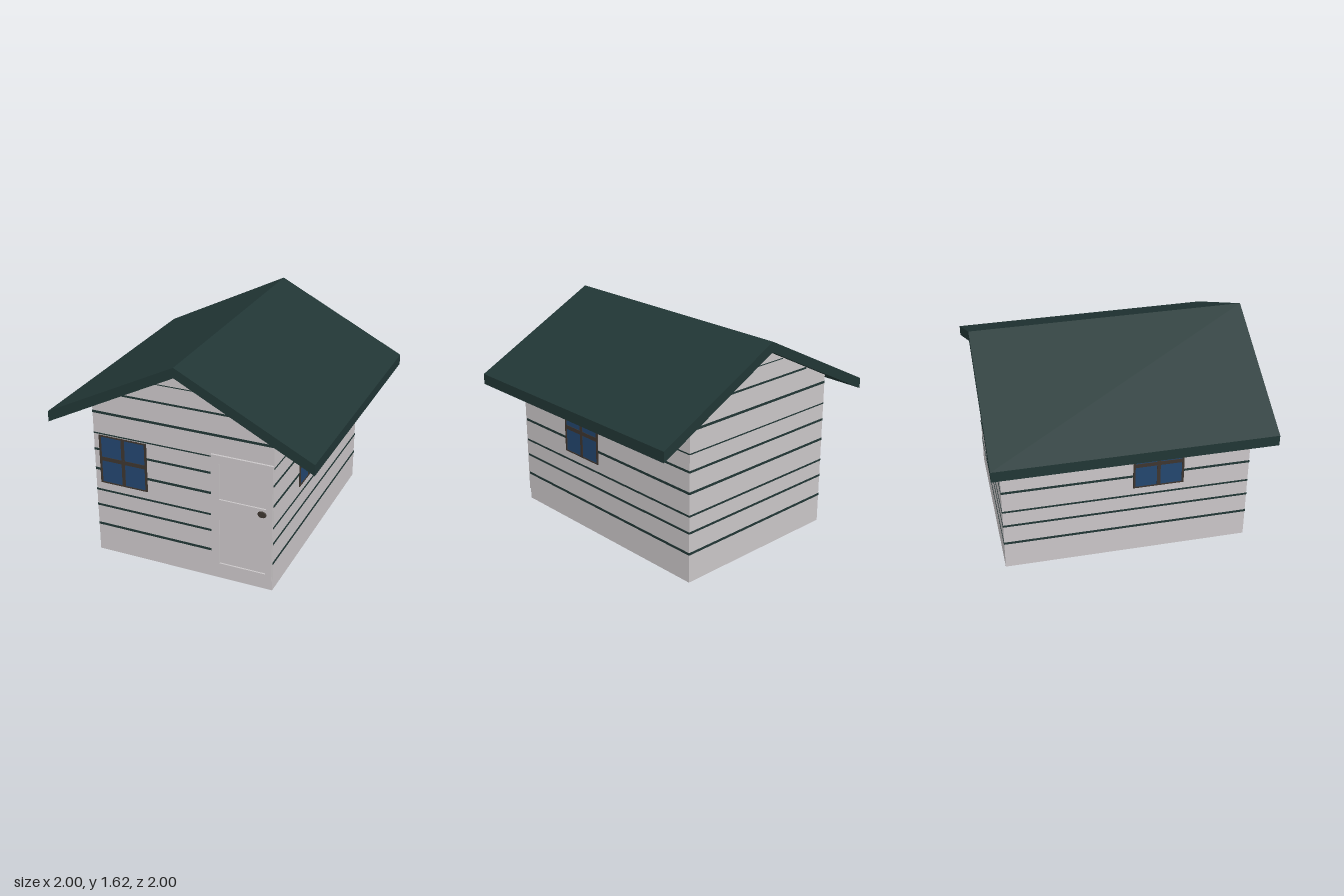
import * as THREE from 'three';

const HALF_W = 0.687, HALF_D = 0.912;   // wall planes
const PEAK = 1.54, SLOPE = 0.51;        // underside of the roof
const EAVE = PEAK - SLOPE * HALF_W;

const mat = (name, color, side = THREE.FrontSide) => {
  const m = new THREE.MeshStandardMaterial({ color, side });
  m.name = name;
  return m;
};

const polygon = (pts, Type = THREE.Shape) => new Type(pts.map(([x, y]) => new THREE.Vector2(x, y)));
const rect = (x0, x1, y0, y1, Type) => polygon([[x0, y0], [x1, y0], [x1, y1], [x0, y1]], Type);

export function createModel() {
  const wallMat = mat('pale wall', 0xcac6c8, THREE.DoubleSide);
  const greenMat = mat('dark green', 0x213635);
  const frameMat = mat('dark brown', 0x3d352f);
  const glassMat = mat('blue glass', 0x23466f);

  const model = new THREE.Group();
  model.name = 'cabin';

  const add = (parent, name, geometry, material, x = 0, y = 0, z = 0) => {
    const mesh = new THREE.Mesh(geometry, material);
    mesh.name = name;
    mesh.position.set(x, y, z);
    parent.add(mesh);
    return mesh;
  };
  const slab = (parent, name, material, x0, x1, y0, y1, depth, z = 0) =>
    add(parent, name, new THREE.BoxGeometry(x1 - x0, y1 - y0, depth), material,
      (x0 + x1) / 2, (y0 + y1) / 2, z);

  // Roof: one chevron along the whole length
  const roofShape = polygon([[0, 1.615], [-1, 1.11], [-1, 1.03], [0, PEAK], [1, 1.03], [1, 1.11]]);
  add(model, 'roof', new THREE.ExtrudeGeometry(roofShape, { depth: 2, bevelEnabled: false }),
    greenMat, 0, 0, -1);

  // Dark gaps between the boards: height and thickness
  const gaps = [[0.222, 0.018], [0.382, 0.016], [0.51, 0.014], [0.681, 0.018], [0.839, 0.016],
    [0.968, 0.009], [1.135, 0.018], [1.296, 0.014], [1.428, 0.006]];

  // Each wall is a group whose local +z points outwards
  const makeWall = (name, shape, x, z, turn) => {
    const wall = new THREE.Group();
    wall.name = name;
    wall.position.set(x, 0, z);
    wall.rotation.y = turn;
    add(wall, 'boards', new THREE.ShapeGeometry(shape), wallMat);
    model.add(wall);
    return wall;
  };

  const addWindow = (wall, x0, x1) => {
    const y0 = 0.577, y1 = 0.957, e = 0.016, d = 0.016;
    const xm = (x0 + x1) / 2, ym = 0.772;
    const win = new THREE.Group();
    win.name = 'window';
    wall.add(win);
    slab(win, 'glass', glassMat, x0 + 0.005, x1 - 0.005, y0 + 0.005, y1 - 0.005, 0.008);
    slab(win, 'leftFrame', frameMat, x0, x0 + e, y0, y1, d);
    slab(win, 'rightFrame', frameMat, x1 - e, x1, y0, y1, d);
    slab(win, 'bottomFrame', frameMat, x0 + e, x1 - e, y0, y0 + e * 0.6, d);
    slab(win, 'topFrame', frameMat, x0 + e, x1 - e, y1 - e * 0.6, y1, d);
    slab(win, 'mullion', frameMat, xm - 0.013, xm + 0.013, y0, y1, 0.014);
    slab(win, 'crossbar', frameMat, x0, x1, ym - 0.015, ym + 0.015, 0.015);
  };

  // Gable walls
  const gablePoints = [[-HALF_W, 0], [HALF_W, 0], [HALF_W, EAVE], [0, PEAK], [-HALF_W, EAVE]];
  const frontShape = polygon(gablePoints);
  frontShape.holes.push(rect(0.24, 0.675, 0.09, 0.98, THREE.Path));
  const front = makeWall('frontWall', frontShape, 0, HALF_D, 0);
  const back = makeWall('backWall', polygon(gablePoints), 0, -HALF_D, Math.PI);
  for (const [y, h] of gaps) {
    const w = Math.min(HALF_W, (PEAK - y) / SLOPE - 0.01);
    slab(back, 'boardGap', greenMat, -w, w, y - h / 2, y + h / 2, 0.005);
    slab(front, 'boardGap', greenMat, -w, y < 1 ? 0.225 : w, y - h / 2, y + h / 2, 0.005);
  }
  addWindow(front, -0.645, -0.27);

  // Side walls
  for (const s of [-1, 1]) {
    const side = makeWall(s > 0 ? 'leftWall' : 'rightWall',
      rect(-HALF_D, HALF_D, 0, EAVE), s * HALF_W, 0, s * Math.PI / 2);
    for (const [y, h] of gaps.filter(g => g[0] < EAVE))
      slab(side, 'boardGap', greenMat, -HALF_D, HALF_D, y - h / 2, y + h / 2, 0.005);
    // Local x runs along -z on the left wall and +z on the right wall
    if (s > 0) addWindow(side, -0.418, -0.042);
    else addWindow(side, 0.042, 0.418);
  }

  // Door with two sunken panels and a knob
  const door = new THREE.Group();
  door.name = 'door';
  model.add(door);
  const panels = [[0.13, 0.487], [0.65, 0.93]];
  const doorShape = rect(0.229, 0.685, 0.08, 0.992);
  for (const [y0, y1] of panels) {
    doorShape.holes.push(rect(0.29, 0.637, y0, y1, THREE.Path));
    slab(door, 'doorPanel', wallMat, 0.29, 0.637, y0, y1, 0.006, 0.912);
  }
  add(door, 'doorFrame', new THREE.ExtrudeGeometry(doorShape, { depth: 0.03, bevelEnabled: false }),
    wallMat, 0, 0, 0.897);
  const knob = add(door, 'doorKnob', new THREE.CylinderGeometry(0.03, 0.034, 0.009, 12),
    frameMat, 0.61, 0.608, 0.93);
  knob.rotation.x = Math.PI / 2;
  knob.scale.z = 0.78;

  return model;
}
